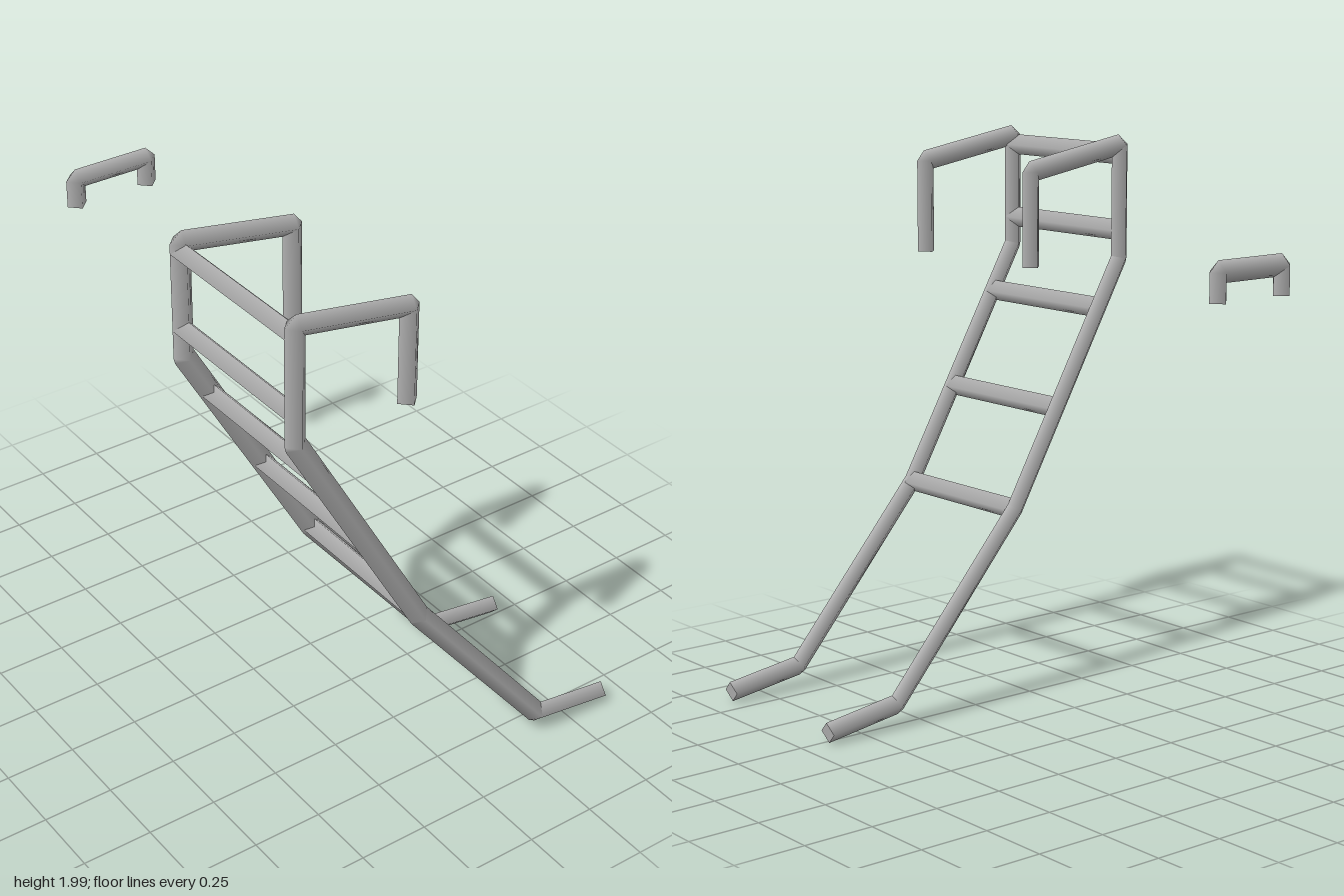
import * as THREE from 'three';

const R = 0.037; // pipe radius

// Four-sided, smooth-shaded pipe along a polyline; each bend gets two rings, which bevels its outer corner.
function pipe(points) {
  const pts = points.map((p) => new THREE.Vector3(...p));
  const pos = [], nor = [], idx = [];

  const addRing = (centre, t, normal) => {
    const n = new THREE.Vector3(-t.y, t.x, 0);
    if (n.length() < 1e-4) n.set(0, 1, 0);
    n.normalize();
    const b = new THREE.Vector3().crossVectors(t, n);
    const start = pos.length / 3;
    for (const d of [n, b, n.clone().negate(), b.clone().negate()]) {
      pos.push(...centre.clone().addScaledVector(d, R).toArray());
      nor.push(...(normal || d).toArray());
    }
    return start;
  };

  // Walls
  let last = -1, t;
  for (let i = 0; i < pts.length - 1; i++) {
    t = pts[i + 1].clone().sub(pts[i]).normalize();
    for (const p of [pts[i], pts[i + 1]]) {
      const ring = addRing(p, t);
      if (last >= 0) {
        for (let k = 0; k < 4; k++) {
          const m = (k + 1) % 4;
          idx.push(last + k, last + m, ring + m, last + k, ring + m, ring + k);
        }
      }
      last = ring;
    }
  }

  // Flat end caps
  const t0 = pts[1].clone().sub(pts[0]).normalize();
  const a = addRing(pts[0], t0, t0.clone().negate());
  idx.push(a, a + 2, a + 1, a, a + 3, a + 2);
  const e = addRing(pts[pts.length - 1], t, t);
  idx.push(e, e + 1, e + 2, e, e + 2, e + 3);

  const g = new THREE.BufferGeometry();
  g.setAttribute('position', new THREE.Float32BufferAttribute(pos, 3));
  g.setAttribute('normal', new THREE.Float32BufferAttribute(nor, 3));
  g.setIndex(idx);
  return g;
}

export function createModel() {
  const model = new THREE.Group();
  model.name = 'ladder';
  const steel = new THREE.MeshStandardMaterial({ color: 0xb4b4b4 });
  steel.name = 'grey steel';

  const add = (name, points) => {
    const mesh = new THREE.Mesh(pipe(points), steel);
    mesh.name = name;
    model.add(mesh);
  };

  // Side rails: hooked handhold at the top, splayed foot at the bottom
  for (const [name, z] of [['backRail', 0.2], ['frontRail', 0.799]]) {
    add(name, [
      [-0.212, 1.56, z], [-0.212, 1.89, z], [-0.622, 1.963, z], [-0.622, 1.56, z],
      [-0.14, 0.71, z], [0.36, 0.085, z + 0.035], [0.65, 0.042, z + 0.035],
    ]);
  }

  // Rungs
  const rungs = [[-0.622, 1.93], [-0.622, 1.66], [-0.525, 1.39], [-0.332, 1.05], [-0.137, 0.71]];
  rungs.forEach(([x, y], i) => add(`rung${i + 1}`, [[x, y, 0.2], [x, y, 0.799]]));

  // Separate grab handle
  const hz = -0.838;
  add('grabHandle', [[-0.388, 1.56, hz], [-0.388, 1.657, hz], [-0.107, 1.657, hz], [-0.107, 1.56, hz]]);

  return model;
}
